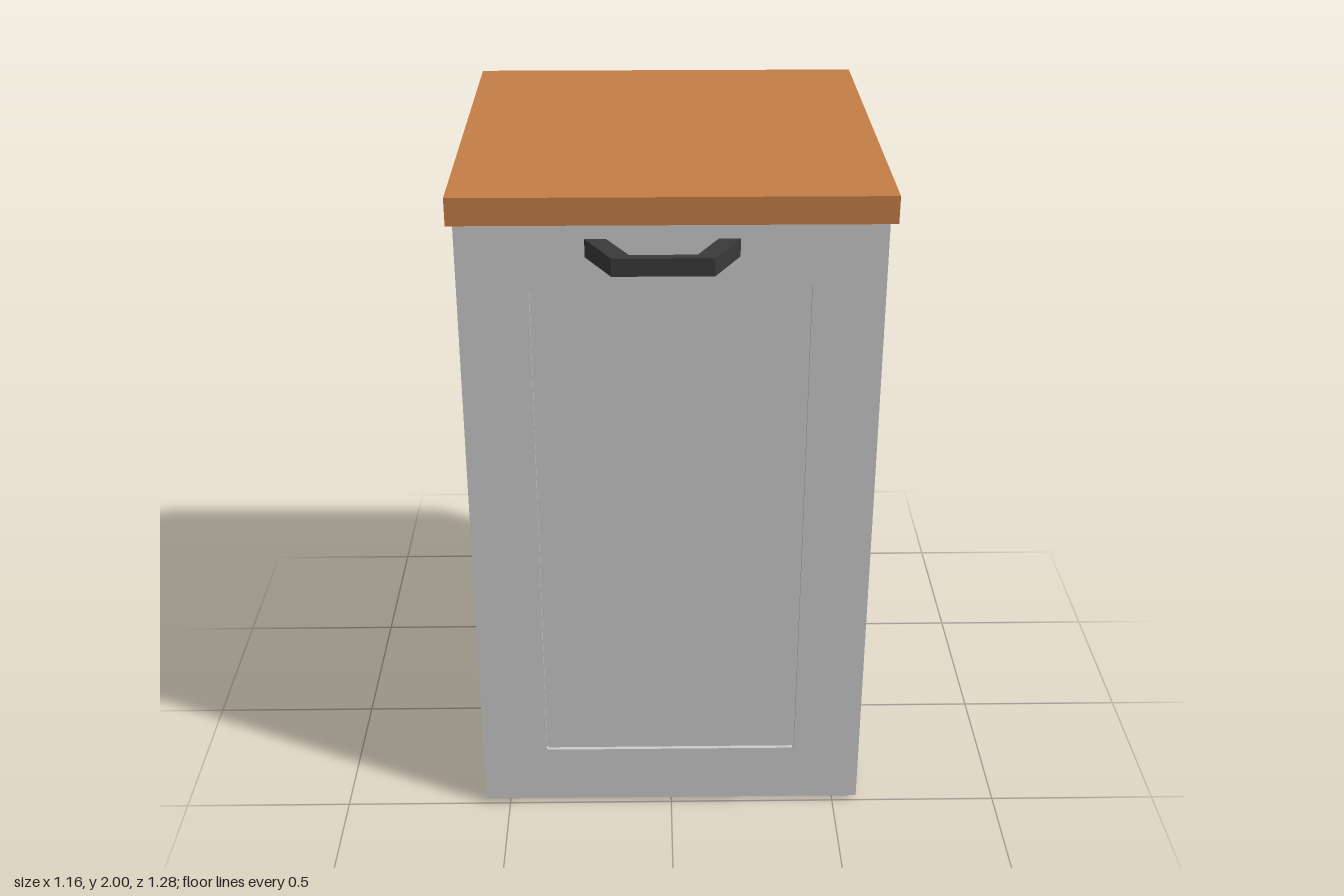
import * as THREE from 'three';

export function createModel() {
  const model = new THREE.Group();
  model.name = 'baseCabinet';

  const material = (name, color, side = THREE.FrontSide) =>
    Object.assign(new THREE.MeshStandardMaterial({ color, side }), { name });
  const grey = material('light grey', 0xcacaca, THREE.DoubleSide);
  const dark = material('charcoal', 0x3a3a3a, THREE.DoubleSide);
  const wood = material('warm wood', 0xc57f46);

  const add = (name, geometry, mat, x, y, z, parent = model) => {
    const mesh = new THREE.Mesh(geometry, mat);
    mesh.name = name;
    mesh.position.set(x, y, z);
    parent.add(mesh);
    return mesh;
  };

  // Carcass: thin walls, open underneath
  const halfW = 0.58, bodyH = 1.925, back = -0.64, front = 0.402;
  const depth = front - back, midZ = (front + back) / 2;
  for (const s of [-1, 1]) {
    const wall = add(s > 0 ? 'leftWall' : 'rightWall',
      new THREE.PlaneGeometry(depth, bodyH), grey, s * halfW, bodyH / 2, midZ);
    wall.rotation.y = s * Math.PI / 2;
  }
  add('backWall', new THREE.PlaneGeometry(halfW * 2, bodyH), grey, 0, bodyH / 2, back)
    .rotation.y = Math.PI;
  add('frontPanel', new THREE.PlaneGeometry(halfW * 2, bodyH), dark, 0, bodyH / 2, front);

  // Worktop, overhanging the door
  add('worktop', new THREE.BoxGeometry(1.162, 0.075, 1.237), wood, 0, 1.9625, -0.0225);

  // Door: slab with a frame around a shallow recess
  const door = new THREE.Group();
  door.name = 'door';
  model.add(door);
  const doorW = 0.574, y0 = 0.015, y1 = 1.917, recess = 0.012, doorFront = 0.497;
  const slabD = doorFront - recess - front;
  add('doorSlab', new THREE.BoxGeometry(doorW * 2, y1 - y0, slabD), grey,
    0, (y0 + y1) / 2, front + slabD / 2, door);

  const frame = new THREE.Shape([
    [-doorW, y0], [doorW, y0], [doorW, y1], [-doorW, y1],
  ].map(([x, y]) => new THREE.Vector2(x, y)));
  const l = -0.38, r = 0.376, b = 0.2, t = 1.73, c = 0.006;
  frame.holes.push(new THREE.Path([
    [l + c, b], [l, b + c], [l, t - c], [l + c, t],
    [r - c, t], [r, t - c], [r, b + c], [r - c, b],
  ].map(([x, y]) => new THREE.Vector2(x, y))));
  add('doorFrame', new THREE.ExtrudeGeometry(frame, { depth: recess, bevelEnabled: false }),
    grey, 0, 0, doorFront - recess, door);

  // Handle: bent bar with splayed legs, drawn in plan and extruded upwards
  const plan = new THREE.Shape([
    [-0.23, 0], [-0.172, 0], [-0.112, 0.118], [0.065, 0.118],
    [0.124, 0], [0.182, 0], [0.11, 0.143], [-0.158, 0.143],
  ].map(([x, z]) => new THREE.Vector2(x, -z)));
  add('handle', new THREE.ExtrudeGeometry(plan, { depth: 0.05, bevelEnabled: false }),
    dark, 0, 1.802, doorFront).rotation.x = -Math.PI / 2;

  return model;
}
